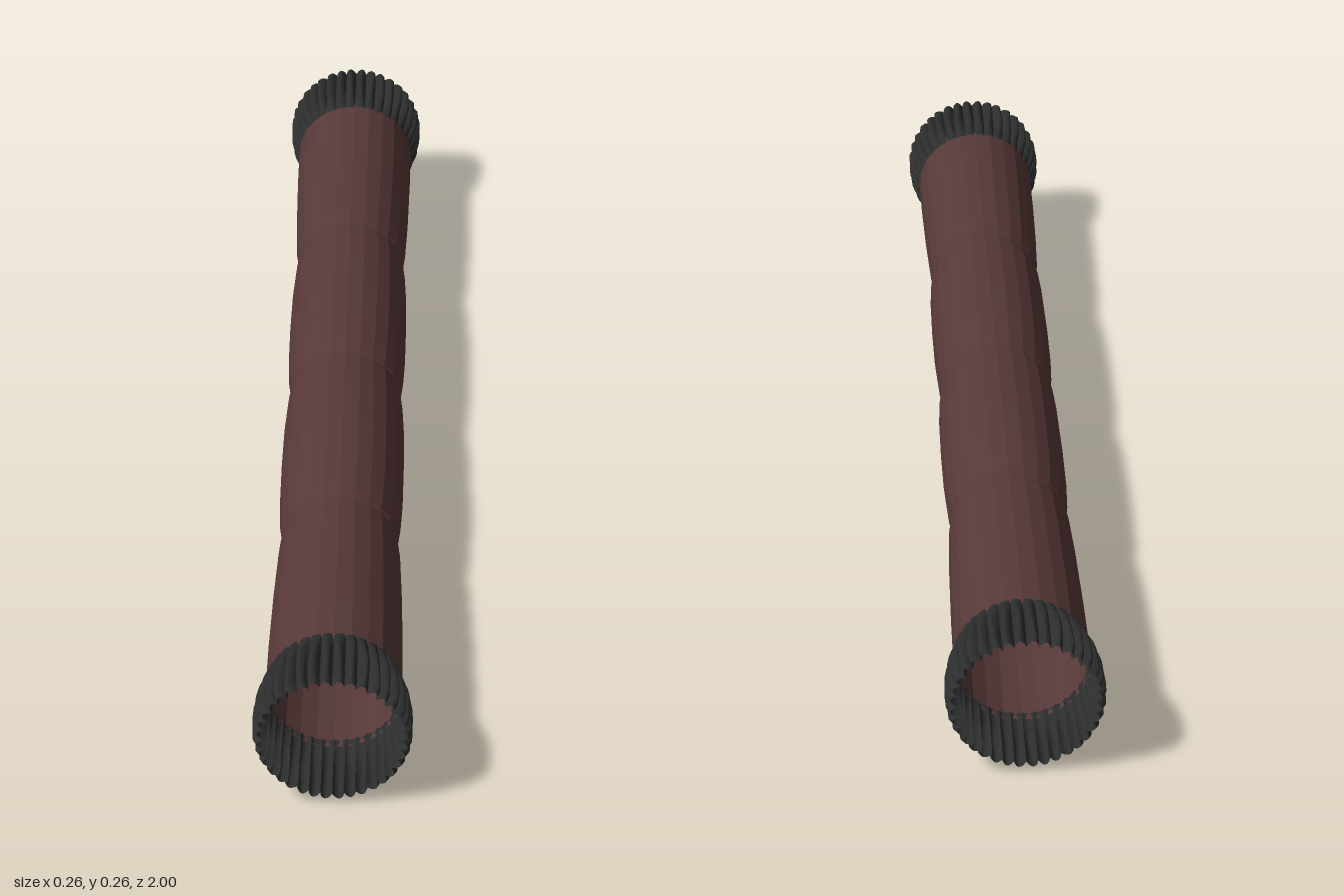
import * as THREE from 'three';

const AXIS_Y = 0.132;
const SIDES = 24;
const RIBS = 36;
const STEPS = 6; // samples across one rib

const sleeveMaterial = new THREE.MeshStandardMaterial({ color: 0x573838, flatShading: true, side: THREE.DoubleSide });
const cuffMaterial = new THREE.MeshStandardMaterial({ color: 0x2c2e2d, flatShading: true, side: THREE.DoubleSide });

// Surface of revolution along z from [z, radius] pairs
function turned(profile, sides) {
  const points = profile.map(([z, r]) => new THREE.Vector2(r, z));
  return new THREE.LatheGeometry(points, sides).rotateX(Math.PI / 2);
}

// Thin sleeve section, pinched at its joints
function sleeveSection(name, profile) {
  const mesh = new THREE.Mesh(turned(profile, SIDES), sleeveMaterial);
  mesh.name = name;
  return mesh;
}

// Pleated cuff: rows of [z, valley radius, rib height], outside, round the rim, back inside
function cuffGeometry() {
  const rows = [
    [0.862, 0.112, 0.003], [0.88, 0.114, 0.006], [0.905, 0.116, 0.011], [0.93, 0.117, 0.014],
    [0.96, 0.117, 0.015], [0.985, 0.117, 0.014], [1.0, 0.113, 0.011],
    [0.985, 0.111, 0.011], [0.94, 0.111, 0.009], [0.9, 0.111, 0.005], [0.865, 0.11, 0.003],
  ];
  const geometry = turned(rows, RIBS * STEPS);
  const position = geometry.attributes.position;
  for (let i = 0; i < position.count; i++) {
    const [z, valley, height] = rows[i % rows.length];
    const column = Math.floor(i / rows.length) % (RIBS * STEPS);
    const rib = Math.floor(column / STEPS);
    // Rounded crest, narrow valley, slight sideways sway of each rib
    const crest = Math.pow(Math.sin(Math.PI * (column % STEPS) / STEPS), 0.8);
    const sway = 0.014 * Math.sin(z * 45 + rib * 2.1) * crest;
    const angle = column / (RIBS * STEPS) * Math.PI * 2 + sway;
    const r = valley + height * crest;
    position.setXY(i, r * Math.cos(angle), r * Math.sin(angle));
  }
  geometry.computeVertexNormals();
  return geometry;
}

export function createModel() {
  const group = new THREE.Group();
  group.name = 'segmentedSleeve';
  const assembly = new THREE.Group();
  assembly.name = 'sleeveAssembly';
  assembly.position.y = AXIS_Y;
  group.add(assembly);

  // Four sections between the joints
  const joints = [-0.438, 0.01, 0.461];
  const pinch = 0.0975;
  for (let i = 0; i < 2; i++) {
    const a = joints[i], b = joints[i + 1];
    assembly.add(sleeveSection('middleSection' + (i + 1), [
      [a, pinch], [a + 0.006, 0.102], [a + 0.04, 0.106], [a + 0.11, 0.109], [(a + b) / 2, 0.11],
      [b - 0.11, 0.109], [b - 0.04, 0.106], [b - 0.006, 0.102], [b, pinch],
    ]));
  }
  for (const [name, joint, s] of [['frontSection', joints[2], 1], ['backSection', joints[0], -1]]) {
    const profile = [
      [joint, pinch], [joint + s * 0.006, 0.102], [joint + s * 0.04, 0.106],
      [joint + s * 0.15, 0.11], [s * 0.75, 0.113], [s * 0.88, 0.114],
    ];
    assembly.add(sleeveSection(name, s > 0 ? profile : profile.reverse()));
  }

  // Ribbed cuffs on both ends
  const geometry = cuffGeometry();
  for (const [name, turn] of [['frontCuff', 0], ['backCuff', Math.PI]]) {
    const cuff = new THREE.Mesh(geometry, cuffMaterial);
    cuff.name = name;
    cuff.rotation.y = turn;
    assembly.add(cuff);
  }
  return group;
}
